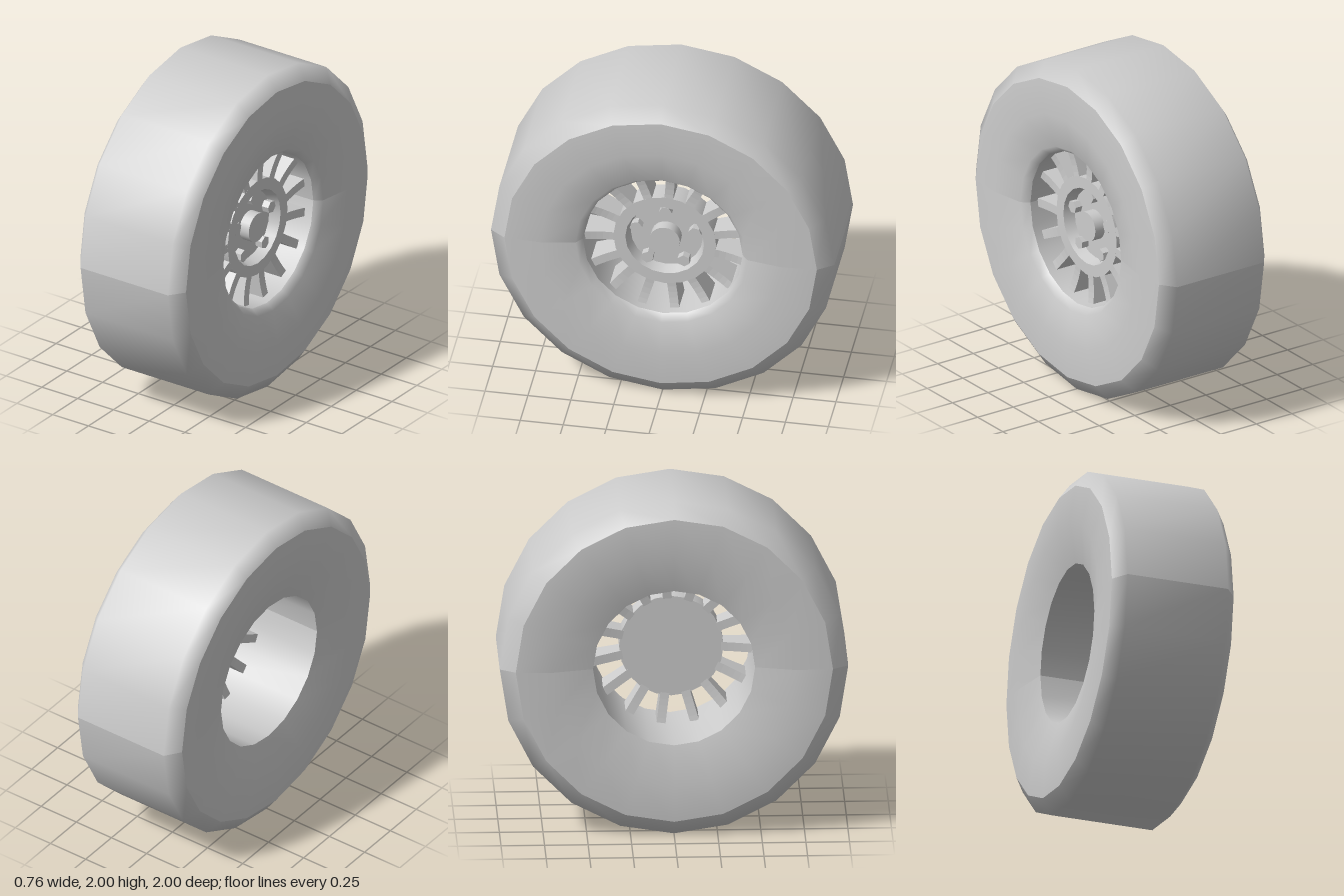
import * as THREE from 'three';
import { mergeGeometries } from 'three/addons/utils/BufferGeometryUtils.js';

const SIDES = 20;

// Turns a profile of [radius, x] points about the x axis, as an upper and a lower half
function turned(profile, sides = SIDES) {
  const points = profile.map(([r, x]) => new THREE.Vector2(r, x));
  const halves = [0, Math.PI].map((start) => {
    const half = new THREE.LatheGeometry(points, sides / 2, start, Math.PI);
    half.computeVertexNormals();
    return half;
  });
  return mergeGeometries(halves).rotateZ(-Math.PI / 2);
}

// Turns every segment on its own, so the edges between them stay sharp
function turnedSharp(profile, sides = SIDES) {
  const parts = [];
  for (let i = 0; i < profile.length - 1; i++) {
    const pts = [profile[i], profile[i + 1]].map(([r, x]) => new THREE.Vector2(r, x));
    parts.push(new THREE.LatheGeometry(pts, sides));
  }
  return mergeGeometries(parts).rotateZ(-Math.PI / 2);
}

export function createModel() {
  const model = new THREE.Group();
  model.name = 'wheel';
  const grey = new THREE.MeshStandardMaterial({ color: 0xcccccc });
  grey.name = 'plain grey';

  const add = (name, geometry, parent = model) => {
    const mesh = new THREE.Mesh(geometry, grey);
    mesh.name = name;
    parent.add(mesh);
    return mesh;
  };

  // Tyre: rounded tread, two sidewalls and the open barrel inside
  const tyre = new THREE.Group();
  tyre.name = 'tyre';
  tyre.position.y = 1;
  model.add(tyre);
  add('tread', turned([[0.91, -0.37], [1, -0.305], [1, 0.305], [0.91, 0.37]]), tyre);
  add('outerSidewall', turned([[0.91, 0.37], [0.7, 0.38], [0.5, 0.345], [0.465, 0.3]]), tyre);
  add('innerSidewall', turned([[0.465, -0.32], [0.7, -0.38], [0.91, -0.37]]), tyre);
  add('barrel', turned([[0.465, 0.3], [0.465, -0.32]]), tyre);

  // Rim: dished hub with centre cap
  const rim = new THREE.Group();
  rim.name = 'rim';
  rim.position.y = 1;
  model.add(rim);
  add('hub', turnedSharp([
    [0, 0.1], [0.3, 0.1], [0.3, 0.235], [0.23, 0.235], [0.21, 0.17], [0, 0.17],
  ]), rim);
  const cap = add('centreCap', new THREE.CylinderGeometry(0.088, 0.088, 0.08, 20), rim);
  cap.rotation.z = -Math.PI / 2;
  cap.position.x = 0.195;

  // Spokes: fifteen deep blades from hub to barrel
  const blade = new THREE.Shape();
  blade.moveTo(0.1, 0.285);
  blade.lineTo(0.235, 0.285);
  blade.quadraticCurveTo(0.23, 0.38, 0.25, 0.468);
  blade.lineTo(0.07, 0.468);
  blade.quadraticCurveTo(0.09, 0.38, 0.1, 0.285);
  const bladeGeometry = new THREE.ExtrudeGeometry(blade, {
    depth: 0.052, bevelEnabled: false, curveSegments: 5,
  }).translate(0, 0, -0.026);
  for (let i = 0; i < 15; i++) {
    const spoke = add('spoke', bladeGeometry, rim);
    spoke.rotation.x = -THREE.MathUtils.degToRad(4.5 + i * 24);
  }

  // Five hexagonal bolts around the cap
  const boltGeometry = new THREE.CylinderGeometry(0.038, 0.038, 0.06, 6).toNonIndexed();
  boltGeometry.computeVertexNormals();
  boltGeometry.rotateZ(-Math.PI / 2);
  for (let i = 0; i < 5; i++) {
    const a = (i / 5) * Math.PI * 2;
    const bolt = add('bolt', boltGeometry, rim);
    bolt.position.set(0.185, 0.18 * Math.cos(a), 0.18 * Math.sin(a));
    bolt.rotation.x = a;
  }

  return model;
}
